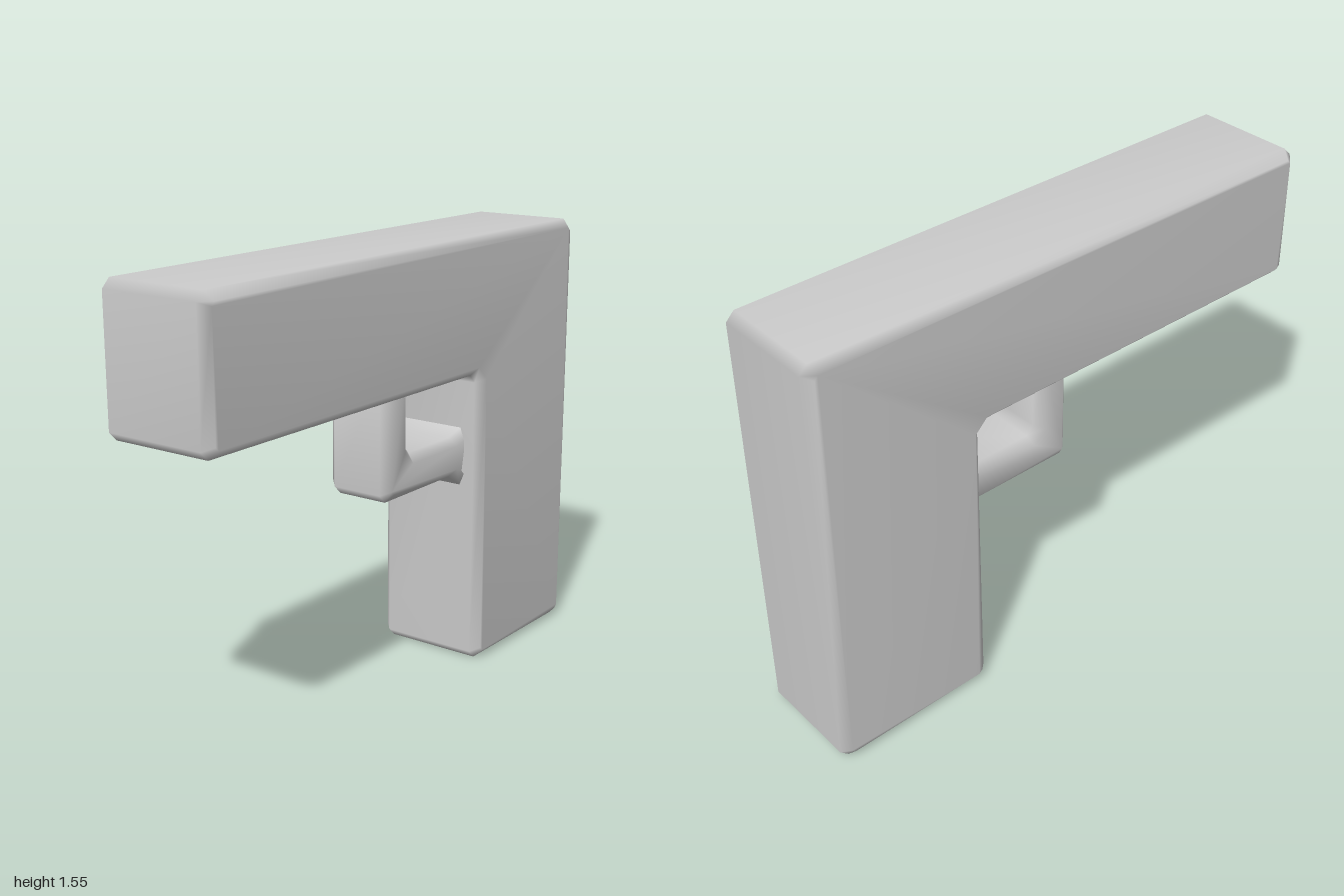
import * as THREE from 'three';
import { mergeVertices } from 'three/addons/utils/BufferGeometryUtils.js';

const BEVEL = 0.03;
const material = new THREE.MeshStandardMaterial({ color: 0xcccccc });

// Cut every flagged corner of an outline with a small chamfer
function chamferedShape(corners) {
  const pts = [];
  corners.forEach(([x, y, sharp], i) => {
    const p = new THREE.Vector2(x, y);
    if (sharp) return pts.push(p);
    for (const j of [i - 1, i + 1]) {
      const q = corners[(j + corners.length) % corners.length];
      const d = new THREE.Vector2(q[0], q[1]).sub(p).setLength(BEVEL);
      pts.push(p.clone().add(d));
    }
  });
  return new THREE.Shape(pts);
}

// Bevelled slab centred on z = 0 with the bevel kept inside the outline
function slab(shape, halfDepth) {
  const geo = new THREE.ExtrudeGeometry(shape, {
    depth: 2 * (halfDepth - BEVEL),
    bevelEnabled: true,
    bevelThickness: BEVEL,
    bevelSize: BEVEL,
    bevelOffset: -BEVEL,
    bevelSegments: 1,
  });
  return geo.translate(0, 0, BEVEL - halfDepth);
}

// Share vertices so the shading flows over the bevels
function smooth(geo) {
  geo.deleteAttribute('uv');
  geo.deleteAttribute('normal');
  const merged = mergeVertices(geo, 1e-4);
  merged.computeVertexNormals();
  return merged;
}

function addPart(group, name, geo) {
  const mesh = new THREE.Mesh(smooth(geo), material);
  mesh.name = name;
  group.add(mesh);
}

export function createModel() {
  const group = new THREE.Group();
  group.name = 'blockPistol';

  // Barrel and grip in one L-shaped block
  const body = chamferedShape([
    [0.39, 0], [1, 0], [1, 1.55], [-1, 1.55], [-1, 1.07], [0.39, 1.07],
  ]);
  addPart(group, 'barrelAndGrip', slab(body, 0.21));

  // Trigger guard, its ends sunk into the barrel and the grip
  const guard = chamferedShape([
    [-0.05, 0.69], [0.36, 0.69, true], [0.39, 0.66, true], [0.47, 0.66, true],
    [0.47, 0.87, true], [0.39, 0.87, true], [0.36, 0.835, true],
    [0.085, 0.835], [0.085, 1.14, true], [-0.05, 1.14, true],
  ]);
  const guardGeo = slab(guard, 0.125);

  // Flare the guard sideways where it meets the grip
  const pos = guardGeo.attributes.position;
  for (let i = 0; i < pos.count; i++) {
    if (pos.getX(i) > 0.385) pos.setZ(i, pos.getZ(i) + Math.sign(pos.getZ(i)) * BEVEL);
  }
  addPart(group, 'triggerGuard', guardGeo);

  return group;
}
